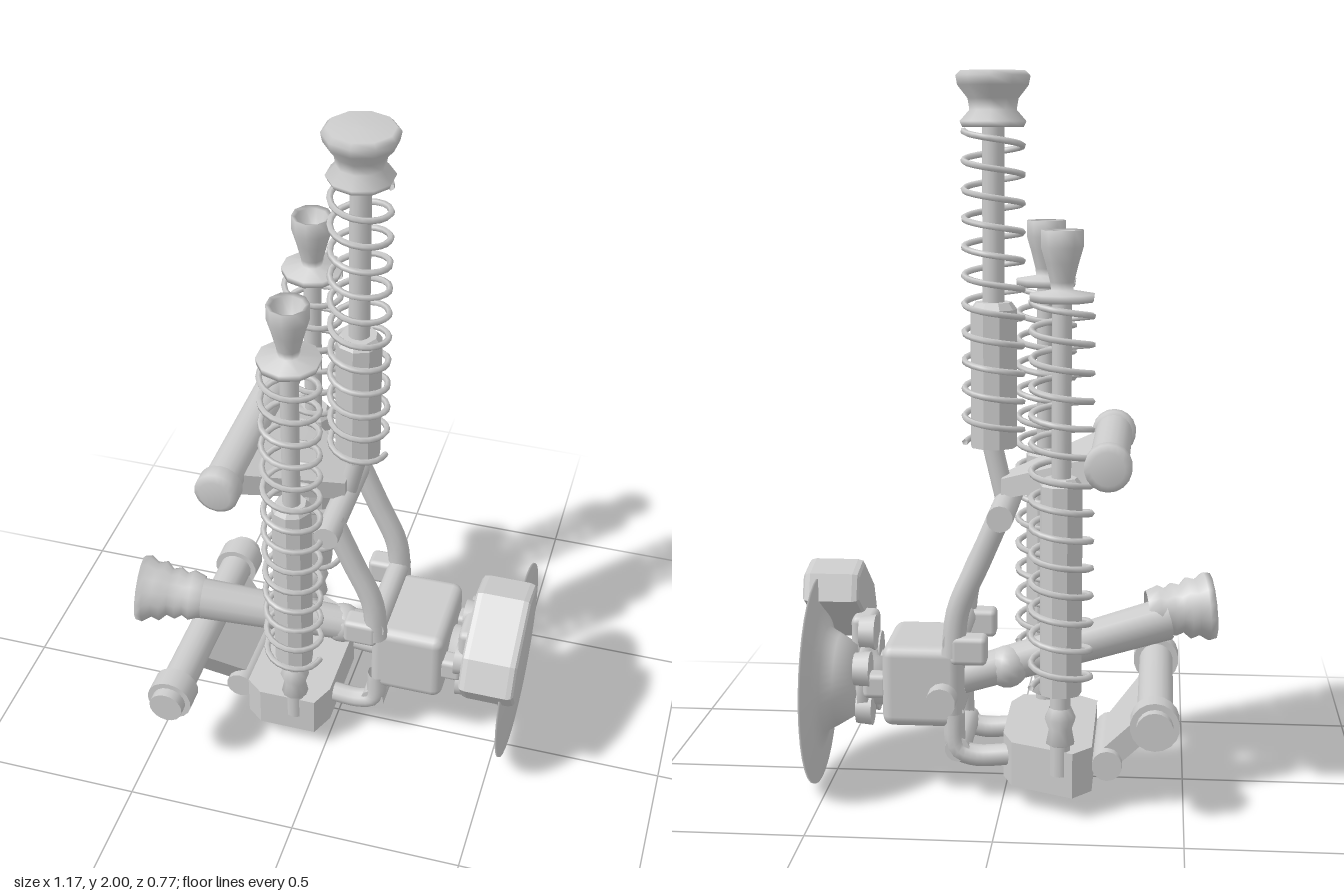
import * as THREE from 'three';
import { RoundedBoxGeometry } from 'three/addons/geometries/RoundedBoxGeometry.js';
import { ConvexGeometry } from 'three/addons/geometries/ConvexGeometry.js';

const V = (x, y, z) => new THREE.Vector3(x, y, z);
const UP = V(0, 1, 0);
const MID = -0.07; // z of the plane the assembly mirrors about

export function createModel() {
  const root = new THREE.Group();
  const smooth = new THREE.MeshStandardMaterial({ color: 0xcccccc, side: THREE.DoubleSide });
  const flat = smooth.clone();
  flat.flatShading = true;

  function add(name, geometry, parent = root, material = smooth) {
    const mesh = new THREE.Mesh(geometry, material);
    mesh.name = name;
    parent.add(mesh);
    return mesh;
  }
  // Cylinder between two points
  function rod(name, a, b, r, r2 = r, sides = 14, parent = root) {
    const d = b.clone().sub(a);
    const m = add(name, new THREE.CylinderGeometry(r2, r, d.length(), sides), parent);
    m.position.copy(a).add(b).multiplyScalar(0.5);
    m.quaternion.setFromUnitVectors(UP, d.normalize());
    return m;
  }
  // Turned part: profile pairs are [radius, distance] along the axis a -> b
  function turned(name, profile, a, dir, sides = 16, parent = root, material = smooth) {
    const m = add(name, new THREE.LatheGeometry(profile.map(p => new THREE.Vector2(...p)), sides), parent, material);
    m.position.copy(a);
    m.quaternion.setFromUnitVectors(UP, dir.clone().normalize());
    return m;
  }
  function block(name, w, h, d, x, y, z, r = 0.02, parent = root) {
    const m = add(name, new RoundedBoxGeometry(w, h, d, 2, r), parent);
    m.position.set(x, y, z);
    return m;
  }
  const hull = (name, pts) => add(name, new ConvexGeometry(pts.map(p => V(...p))), root, flat);

  function coil(r, y0, y1, turns) {
    const pts = [];
    for (let i = 0; i <= turns * 12; i++) {
      const t = i / (turns * 12), a = t * turns * Math.PI * 2;
      pts.push(V(Math.cos(a) * r, y0 + (y1 - y0) * t, Math.sin(a) * r));
    }
    return new THREE.TubeGeometry(new THREE.CatmullRomCurve3(pts), turns * 20, 0.009, 5);
  }

  // Shock absorber: damper tube, piston rod, coil spring, top bush
  function shock(name, x, z, y0, yTube, y1, turns, tubeR, rodR, top) {
    const g = new THREE.Group();
    g.name = name;
    g.position.set(x, 0, z);
    root.add(g);
    turned('damperTube', [[0, y0], [tubeR, y0], [tubeR, yTube - 0.02], [tubeR - 0.015, yTube], [0, yTube]],
      V(0, 0, 0), UP, 9, g, flat);
    rod('pistonRod', V(0, yTube - 0.02, 0), V(0, y1 + 0.05, 0), rodR, rodR, 12, g);
    add('coilSpring', coil(0.08, y0 + 0.01, y1 - 0.01, turns), g);
    turned('topBush', top, V(0, y1, 0), UP, 10, g);
    return g;
  }
  const domeBush = [[0, 0], [0.085, 0], [0.092, 0.015], [0.065, 0.045], [0.07, 0.075], [0.098, 0.11], [0.103, 0.135], [0.09, 0.148], [0, 0.15]];
  const cupBush = [[0, -0.01], [0.085, -0.01], [0.088, 0.01], [0.03, 0.02], [0.032, 0.04], [0.045, 0.09], [0.057, 0.13], [0.057, 0.175], [0.045, 0.17], [0.03, 0.11], [0, 0.1]];
  shock('centreShock', 0.035, MID, 0.98, 1.38, 1.85, 11, 0.065, 0.03, domeBush);
  for (const [n, x, z] of [['frontShock', -0.095, 0.15], ['rearShock', -0.165, -0.295]]) {
    const g = shock(n, x, z, 0.35, 0.94, 1.415, 14, 0.057, 0.026, cupBush);
    // Lower eye and pin
    rod('lowerPin', V(0, 0.12, 0), V(0, 0.36, 0), 0.028, 0.028, 10, g);
    turned('lowerCollar', [[0.02, 0.2], [0.04, 0.21], [0.032, 0.25], [0.043, 0.28], [0.03, 0.31]], V(0, 0, 0), UP, 10, g);
  }

  // Upper wishbone: pivot tube with end caps and a tapering web
  rod('upperPivot', V(-0.29, 0.98, -0.37), V(-0.29, 0.98, 0.22), 0.053, 0.053, 18);
  for (const [z, s] of [[-0.32, -1], [0.17, 1]])
    turned('upperPivotCap', [[0.05, 0], [0.063, 0.005], [0.063, 0.05], [0.045, 0.062], [0, 0.062]], V(-0.29, 0.98, z), V(0, 0, s), 18);
  const web = [];
  for (const dy of [-0.035, 0.035])
    web.push([-0.28, 0.97 + dy, -0.31], [-0.28, 0.97 + dy, 0.16], [-0.14, 0.92 + dy, -0.16],
      [-0.14, 0.92 + dy, 0.02], [0.01, 0.87 + dy * 0.8, -0.12], [0.01, 0.87 + dy * 0.8, -0.02]);
  hull('upperWishbone', web);
  rod('centreShockLink', V(0.04, 0.99, MID), V(0, 0.82, MID), 0.028);

  // Fork joining the upper wishbone to the upright
  rod('forkCrossbar', V(0, 0.82, MID - 0.21), V(0, 0.82, MID + 0.21), 0.036);
  for (const s of [-1, 1]) {
    const z = MID + s * 0.14;
    const path = new THREE.CatmullRomCurve3([V(0, 0.83, z), V(0.06, 0.69, z), V(0.12, 0.55, z), V(0.135, 0.42, z)]);
    add('forkLeg', new THREE.TubeGeometry(path, 14, 0.033, 10));
    block('forkFoot', 0.1, 0.08, 0.07, 0.09, 0.44, z, 0.015);
  }
  rod('forkLowerPin', V(0.13, 0.46, MID - 0.16), V(0.13, 0.46, MID + 0.16), 0.032);

  // Upright housing
  block('upright', 0.22, 0.23, 0.29, 0.225, 0.325, MID, 0.03);
  rod('uprightPin', V(0.165, 0.3, MID - 0.2), V(0.165, 0.3, MID), 0.042);
  for (const s of [-1, 1]) block('uprightLug', 0.07, 0.07, 0.06, 0.355, 0.32, MID + s * 0.1, 0.015);

  // Drive shaft with flared boot
  const boot = V(-0.58, 0.485, 0.13), joint = V(0.13, 0.315, MID);
  const axis = joint.clone().sub(boot).normalize();
  rod('driveShaft', boot.clone().addScaledVector(axis, 0.14), joint, 0.062, 0.048, 12);
  turned('driveShaftBoot', [[0, 0.03], [0.06, 0.015], [0.096, 0], [0.1, 0.02], [0.082, 0.045], [0.09, 0.07], [0.07, 0.09],
    [0.078, 0.115], [0.064, 0.135], [0.075, 0.155], [0.062, 0.19]], boot, V(1, -0.08, -0.15), 14);
  add('innerJoint', new THREE.SphereGeometry(0.06, 14, 10)).position.set(0, 0.34, -0.04);

  // Lower wishbone: pivot, two sloping arms, body and ball joint
  rod('lowerPivot', V(-0.42, 0.27, -0.36), V(-0.42, 0.27, 0.385), 0.05, 0.05, 18);
  for (const z of [-0.295, 0.32]) rod('lowerPivotCollar', V(-0.42, 0.27, z - 0.034), V(-0.42, 0.27, z + 0.034), 0.067, 0.067, 18);
  const plate = [];
  for (const [dx, dy] of [[-0.022, -0.022], [0.022, 0.022]])
    plate.push([-0.41 + dx, 0.26 + dy, -0.25], [-0.41 + dx, 0.26 + dy, 0.16],
      [-0.29 + dx, 0.13 + dy, -0.2], [-0.29 + dx, 0.13 + dy, 0.06]);
  hull('lowerSlopingPlate', plate);
  rod('lowerHinge', V(-0.29, 0.125, -0.24), V(-0.29, 0.125, 0.1), 0.042);
  const body = [];
  for (const y of [0.065, 0.19])
    body.push([-0.25, y, -0.27], [-0.25, y, 0.13], [-0.2, y, -0.33], [-0.2, y, 0.17],
      [-0.03, y, -0.25], [-0.03, y, 0.17], [0, y, -0.17], [0, y, 0.1]);
  hull('lowerBody', body);
  for (const s of [-1, 1]) {
    const z = MID + s * 0.12;
    const path = new THREE.CatmullRomCurve3([V(-0.02, 0.135, z), V(0.08, 0.13, z), V(0.125, 0.15, z), V(0.135, 0.25, z)]);
    add('lowerLink', new THREE.TubeGeometry(path, 14, 0.03, 10));
  }
  rod('lowerLinkBar', V(0.125, 0.15, MID - 0.14), V(0.125, 0.15, MID + 0.14), 0.035);

  // Wheel hub: axle, flange and ring of lobes
  const outward = V(1, 0, 0);
  turned('hub', [[0, 0], [0.07, 0], [0.07, 0.05], [0.11, 0.06], [0.11, 0.09], [0.06, 0.1], [0.06, 0.17], [0, 0.17]],
    V(0.32, 0.3, MID), outward, 18);
  for (let i = 0; i < 5; i++) {
    const a = i * Math.PI * 0.4 + Math.PI / 2;
    const y = 0.33 + Math.sin(a) * 0.11, z = MID + Math.cos(a) * 0.11;
    rod('hubLobe', V(0.37, y, z), V(0.415, y, z), 0.05, 0.045);
  }

  // Brake disc with thin rim and dished back
  turned('brakeDisc', [[0, -0.12], [0.1, -0.11], [0.13, -0.06], [0.15, -0.025], [0.2, -0.012], [0.295, -0.003],
    [0.295, 0.003], [0.15, 0.008], [0, 0.012]], V(0.535, 0.3, MID), outward, 36);

  // Brake caliper straddling the disc edge
  const caliper = new THREE.Group();
  caliper.name = 'brakeCaliper';
  caliper.position.set(0.495, 0.505, 0.07);
  caliper.rotation.x = 0.6;
  root.add(caliper);
  const s = new THREE.Shape([[-0.165, -0.05], [0.15, -0.06], [0.165, 0.0], [0.1, 0.065], [-0.09, 0.07], [-0.165, 0.03]]
    .map(p => new THREE.Vector2(...p)));
  const cg = new THREE.ExtrudeGeometry(s, { depth: 0.12, bevelSize: 0.012, bevelThickness: 0.02, bevelSegments: 2 });
  cg.translate(0, 0, -0.06).rotateY(Math.PI / 2);
  add('caliperBody', cg, caliper);
  block('caliperBracket', 0.07, 0.12, 0.12, 0.41, 0.42, 0.0, 0.02);
  return root;
}
